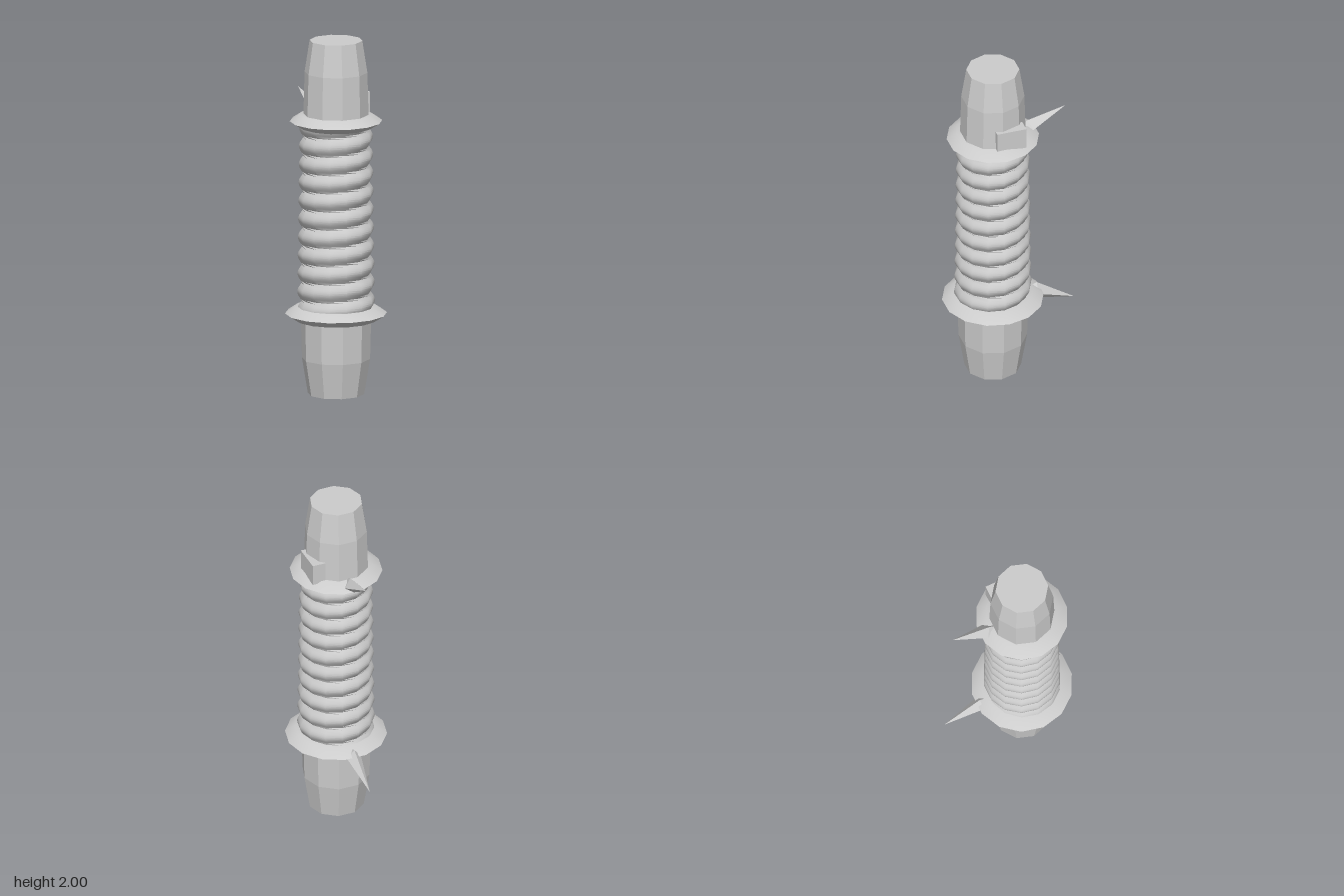
import * as THREE from 'three';
import { toCreasedNormals } from 'three/addons/utils/BufferGeometryUtils.js';
import { ConvexGeometry } from 'three/addons/geometries/ConvexGeometry.js';

export function createModel() {
  const grey = new THREE.MeshStandardMaterial({ color: 0xcccccc });
  grey.name = 'light grey';
  const group = new THREE.Group();
  group.name = 'hilt';
  const axisZ = 0.1; // the shaft sits forward of the centre

  const add = (name, geometry, z = 0) => {
    const mesh = new THREE.Mesh(geometry, grey);
    mesh.name = name;
    mesh.position.z = z;
    group.add(mesh);
  };
  // Turned part from [radius, height] pairs, bottom to top, with a corner on +x
  const turned = (profile, sides) => new THREE.LatheGeometry(
    profile.map(([r, y]) => new THREE.Vector2(r, y)), sides, Math.PI / 2);

  // Ten-sided tapered ends, flat faceted
  add('lowerEnd', toCreasedNormals(
    turned([[0, 0], [0.157, 0], [0.19, 0.2], [0.196, 0.44], [0, 0.44]], 10), 0.02), axisZ);
  add('upperEnd', toCreasedNormals(
    turned([[0, 1.56], [0.182, 1.56], [0.175, 1.82], [0.147, 2], [0, 2]], 10), 0.02), axisZ);

  // Bevelled fourteen-sided guards
  add('lowerGuard', toCreasedNormals(
    turned([[0, 0.42], [0.225, 0.42], [0.283, 0.457], [0.225, 0.495], [0, 0.495]], 14), 0.6), axisZ);
  add('upperGuard', toCreasedNormals(
    turned([[0, 1.51], [0.2, 1.51], [0.257, 1.545], [0.2, 1.582], [0, 1.582]], 14), 0.6), axisZ);

  // Grip wound with a spiral of rounded ribs
  const y0 = 0.485, y1 = 1.515, rows = 100, pitch = 0.103;
  const rowsProfile = [];
  for (let i = 0; i <= rows; i++) rowsProfile.push([0.2, y0 + (y1 - y0) * i / rows]);
  const grip = turned(rowsProfile, 14);
  const pos = grip.attributes.position;
  for (let i = 0; i < pos.count; i++) {
    const x = pos.getX(i), y = pos.getY(i), z = pos.getZ(i);
    const turn = Math.atan2(z, x) / (2 * Math.PI);
    const bulge = Math.abs(Math.sin(Math.PI * ((y - y0) / pitch + turn)));
    const crest = THREE.MathUtils.lerp(0.216, 0.204, (y - y0) / (y1 - y0));
    const k = (crest - 0.026 * (1 - bulge)) / 0.2;
    pos.setXYZ(i, x * k, y, z * k);
  }
  add('ribbedGrip', toCreasedNormals(grip, 0.6), axisZ);

  // Push button on the left of the upper end
  const button = new THREE.BoxGeometry(0.075, 0.125, 0.17);
  button.translate(0.1575, 1.6325, 0.055);
  add('button', button);

  // Rear spikes: a diamond section drawn out to a point, with a short root
  const spike = (name, tip, top, side, bottom, root) => {
    const point = ([y, z], x = 0) => new THREE.Vector3(x, y, z);
    add(name, new ConvexGeometry([point(tip), point(top), point(bottom), point(root),
      point(side, 0.042), point(side, -0.042)]));
  };
  spike('upperSpike', [1.66, -0.325], [1.607, -0.1], [1.565, -0.125], [1.535, -0.138], [1.56, -0.02]);
  spike('lowerSpike', [0.35, -0.375], [0.495, -0.158], [0.445, -0.15], [0.4, -0.115], [0.45, -0.03]);

  return group;
}
